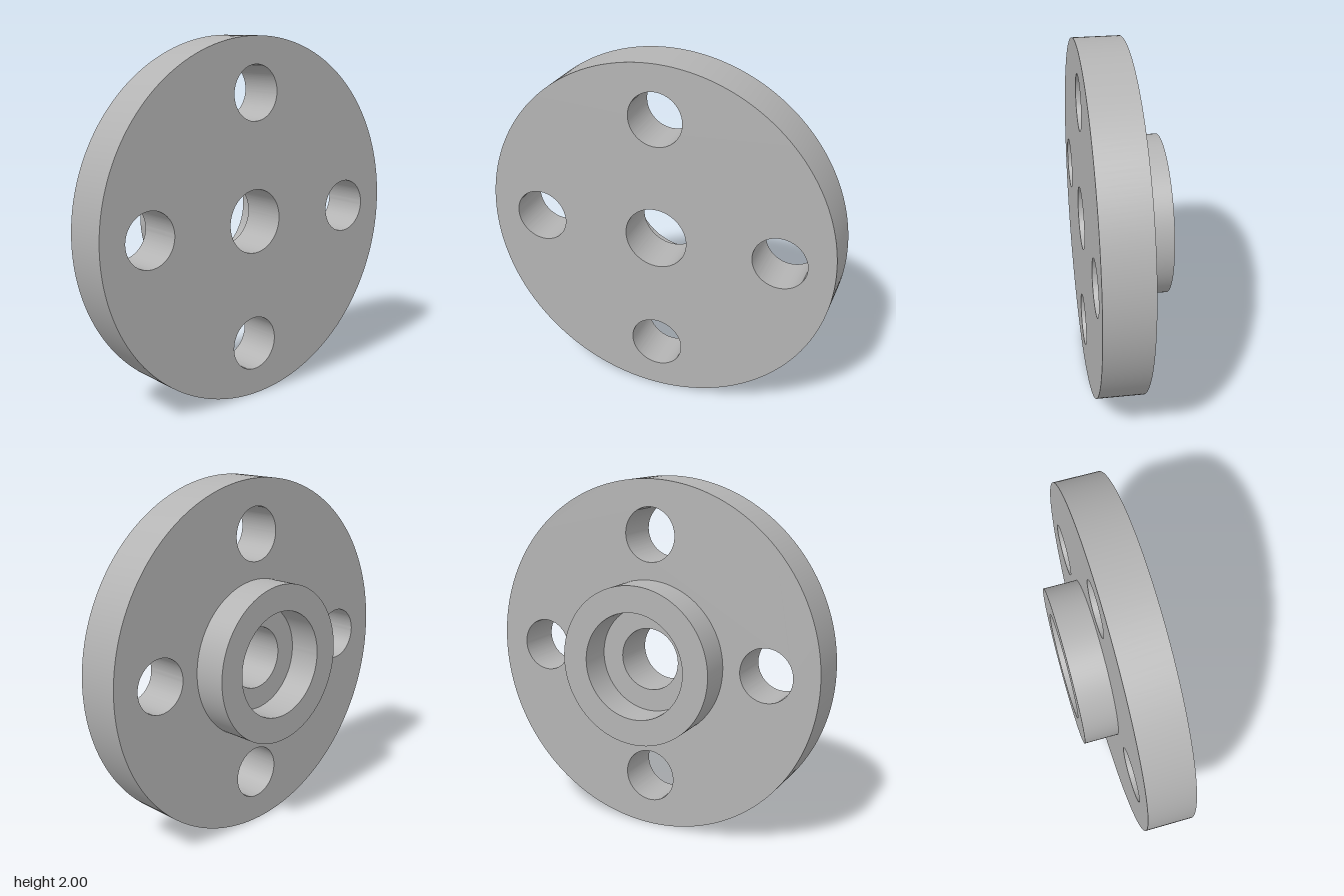
import * as THREE from 'three';
import { toCreasedNormals } from 'three/addons/utils/BufferGeometryUtils.js';

// Round plate along z with circular holes given as [x, y, radius]
function roundPlate(name, radius, holes, zBack, zFront, material) {
  const shape = new THREE.Shape().absarc(0, 0, radius, 0, Math.PI * 2, false);
  for (const [x, y, r] of holes) {
    shape.holes.push(new THREE.Path().absarc(x, y, r, 0, Math.PI * 2, true));
  }
  const extruded = new THREE.ExtrudeGeometry(shape, {
    depth: zFront - zBack, bevelEnabled: false, curveSegments: 96,
  });
  const mesh = new THREE.Mesh(toCreasedNormals(extruded, Math.PI / 6), material);
  mesh.name = name;
  mesh.position.set(0, 1, zBack);
  return mesh;
}

export function createModel() {
  const group = new THREE.Group();
  group.name = 'flange';
  const steel = new THREE.MeshStandardMaterial({ color: 0xb4b4b4 });
  steel.name = 'steel grey';

  // Central bore and four bolt holes on a circle
  const holes = [[0, 0, 0.177]];
  for (let i = 0; i < 4; i++) {
    const a = i * Math.PI / 2;
    holes.push([0.7 * Math.cos(a), 0.7 * Math.sin(a), 0.151]);
  }

  // Main disc, and the hub ring whose recess ends at the back of the disc
  group.add(roundPlate('disc', 1, holes, -0.035, 0.225, steel));
  group.add(roundPlate('hubRing', 0.45, [[0, 0, 0.302]], -0.225, -0.035, steel));
  return group;
}
